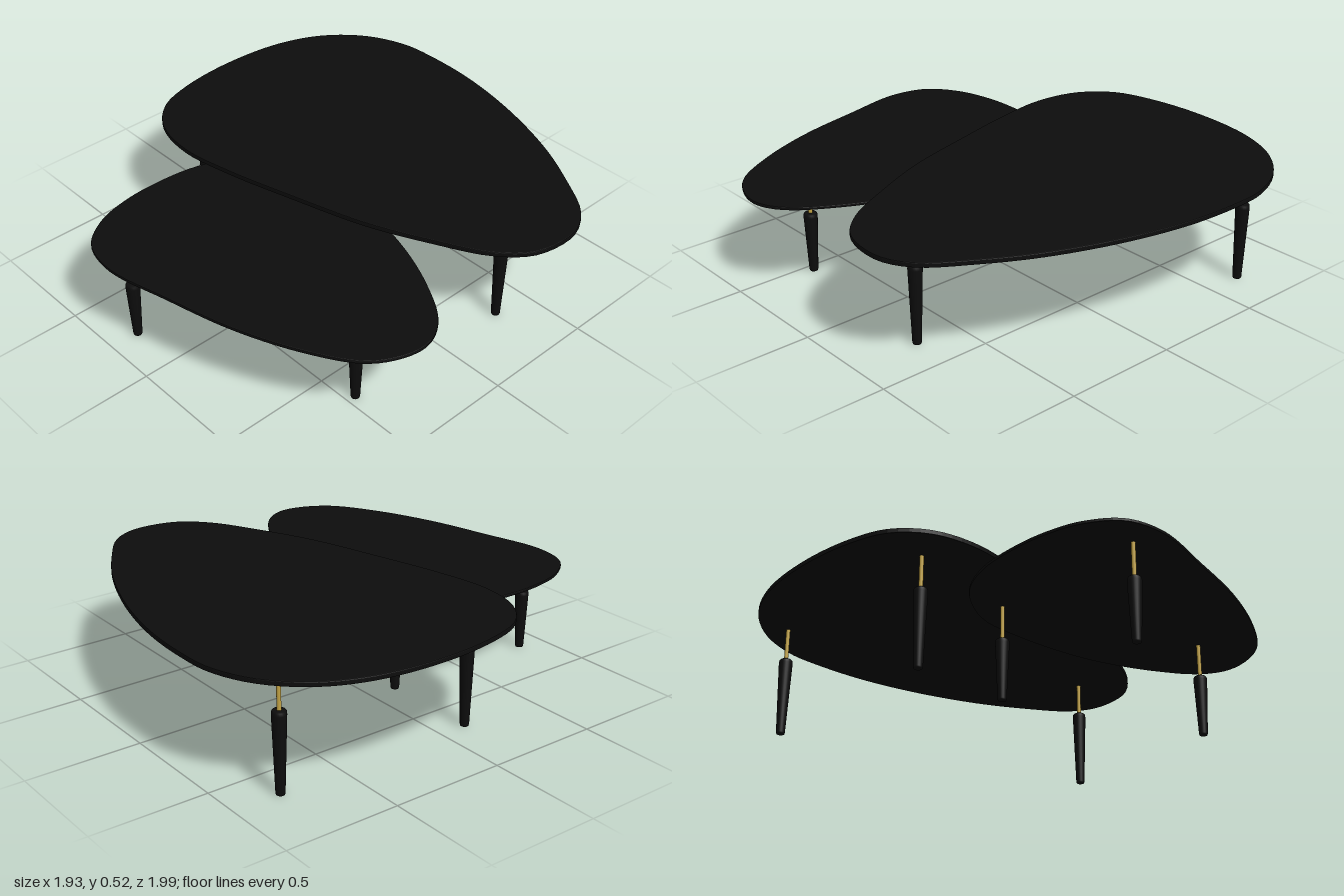
import * as THREE from 'three';

const black = new THREE.MeshStandardMaterial({ color: 0x0d0d0d });
black.name = 'black lacquer';
const brass = new THREE.MeshStandardMaterial({ color: 0xc4a444 });
brass.name = 'brass';

// Pebble outlines as [x, z], clockwise from the left edge
const LARGE = [
  [-0.97, -0.25], [-0.94, -0.55], [-0.85, -0.76], [-0.7, -0.91], [-0.52, -0.987], [-0.35, -1],
  [-0.1, -0.985], [0.2, -0.92], [0.5, -0.81], [0.72, -0.69], [0.88, -0.58], [0.947, -0.48],
  [0.963, -0.38], [0.93, -0.23], [0.82, -0.11], [0.6, 0.01], [0.35, 0.12], [0, 0.22],
  [-0.3, 0.295], [-0.55, 0.33], [-0.75, 0.29], [-0.88, 0.18], [-0.94, 0.02],
];
const SMALL = [
  [-0.525, 0.55], [-0.505, 0.32], [-0.43, 0.15], [-0.31, 0.04], [-0.18, -0.02], [-0.05, -0.03],
  [0.14, -0.022], [0.36, 0.01], [0.53, 0.06], [0.71, 0.14], [0.88, 0.25], [0.945, 0.34],
  [0.96, 0.42], [0.93, 0.53], [0.86, 0.63], [0.66, 0.755], [0.4, 0.86], [0.1, 0.935],
  [-0.2, 0.995], [-0.37, 0.955], [-0.47, 0.83], [-0.51, 0.7],
];

// Flat slab with a softly eased edge
function tableTop(points, bottom, top) {
  const bevel = 0.004;
  const curve = new THREE.CatmullRomCurve3(
    points.map(([x, z]) => new THREE.Vector3(x, -z, 0)), true, 'centripetal');
  const outline = curve.getSpacedPoints(120).slice(0, -1).map((p) => new THREE.Vector2(p.x, p.y));
  const geo = new THREE.ExtrudeGeometry(new THREE.Shape(outline), {
    depth: top - bottom - 2 * bevel, bevelEnabled: true, bevelThickness: bevel,
    bevelSize: bevel, bevelOffset: -bevel, bevelSegments: 2,
  });
  geo.rotateX(-Math.PI / 2);
  geo.translate(0, bottom + bevel, 0);
  const mesh = new THREE.Mesh(geo, black);
  mesh.name = 'tableTop';
  return mesh;
}

// Tapered foot carrying a thin brass rod up to the slab
function leg(x, z, height, slabBottom) {
  const group = new THREE.Group();
  group.name = 'leg';
  const profile = [
    [0, 0], [0.017, 0], [0.019, 0.006], [0.03, height - 0.018],
    [0.0285, height - 0.005], [0.024, height], [0, height],
  ].map(([r, y]) => new THREE.Vector2(r, y));
  const foot = new THREE.Mesh(new THREE.LatheGeometry(profile, 24), black);
  foot.name = 'taperedFoot';
  const length = slabBottom - height + 0.006;
  const rod = new THREE.Mesh(new THREE.CylinderGeometry(0.009, 0.009, length, 16), brass);
  rod.name = 'brassRod';
  rod.position.y = height - 0.004 + length / 2;
  group.add(foot, rod);
  group.position.set(x, 0, z);
  return group;
}

function table(name, outline, bottom, top, legHeight, legs) {
  const group = new THREE.Group();
  group.name = name;
  group.add(tableTop(outline, bottom, top));
  for (const [x, z] of legs) group.add(leg(x, z, legHeight, bottom));
  return group;
}

export function createModel() {
  const model = new THREE.Group();
  model.name = 'nestingTables';
  model.add(
    table('largeTable', LARGE, 0.498, 0.52, 0.35, [[-0.67, 0.13], [-0.67, -0.79], [0.7, -0.32]]),
    table('smallTable', SMALL, 0.428, 0.443, 0.275, [[-0.23, 0.87], [-0.225, 0.13], [0.655, 0.46]]),
  );
  return model;
}
